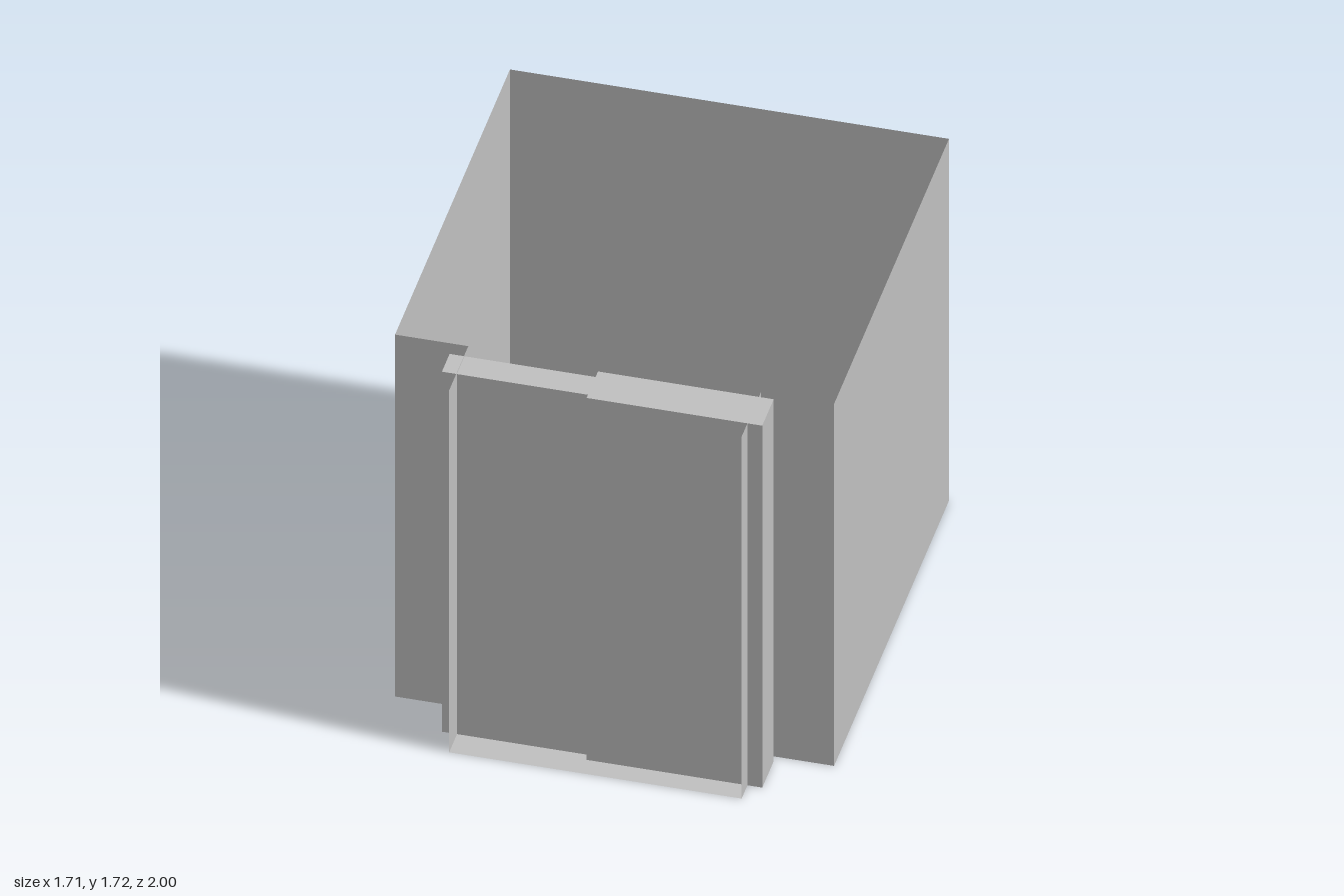
import * as THREE from 'three';

export function createModel() {
  const group = new THREE.Group();
  const grey = new THREE.MeshStandardMaterial({ color: 0xc0c0c0, side: THREE.DoubleSide });
  grey.name = 'light grey';

  const H = 1.715;             // wall height
  const W = 0.857;             // half width of the cabin
  const J = 0.571;             // half width of the doorway
  const BACK = -1, FACE = 0.714, FRONT = 1;

  const add = (name, geometry) => {
    const mesh = new THREE.Mesh(geometry, grey);
    mesh.name = name;
    group.add(mesh);
    return mesh;
  };

  // Thin upright wall from plan point a to plan point b, facing outward
  const wall = (name, [ax, az], [bx, bz]) => {
    const mesh = add(name, new THREE.PlaneGeometry(Math.hypot(bx - ax, bz - az), H));
    mesh.position.set((ax + bx) / 2, H / 2, (az + bz) / 2);
    mesh.rotation.y = Math.atan2(az - bz, bx - ax);
  };

  // Solid block given by its limits on each axis
  const block = (name, [x0, x1], [y0, y1], [z0, z1]) => {
    const mesh = add(name, new THREE.BoxGeometry(x1 - x0, y1 - y0, z1 - z0));
    mesh.position.set((x0 + x1) / 2, (y0 + y1) / 2, (z0 + z1) / 2);
  };

  // Plan outline, from one doorway edge round the cabin to the other
  const outline = [
    [J, FRONT], [J, FACE], [W, FACE], [W, BACK],
    [-W, BACK], [-W, FACE], [-J, FACE], [-J, FRONT],
  ];
  const names = ['leftJamb', 'leftFrontWall', 'leftWall', 'backWall',
    'rightWall', 'rightFrontWall', 'rightJamb'];
  names.forEach((name, i) => wall(name, outline[i], outline[i + 1]));

  // Floor with the threshold, open roof above
  const plan = new THREE.Shape(outline.map(([x, z]) => new THREE.Vector2(x, -z)));
  add('floor', new THREE.ShapeGeometry(plan)).rotation.x = -Math.PI / 2;

  // Two overlapping door leaves
  block('leftDoor', [-0.057, 0.629], [0, H], [0.743, 0.914]);
  block('rightDoor', [-0.629, -0.057], [0.003, H - 0.006], [0.771, 0.886]);

  // Interior fittings
  block('post', [-0.057, 0.057], [0, 1.03], [0.6, 0.714]);
  block('controlPanel', [-0.829, -0.6], [0.57, 1.0], [0.685, 0.713]);

  return group;
}
